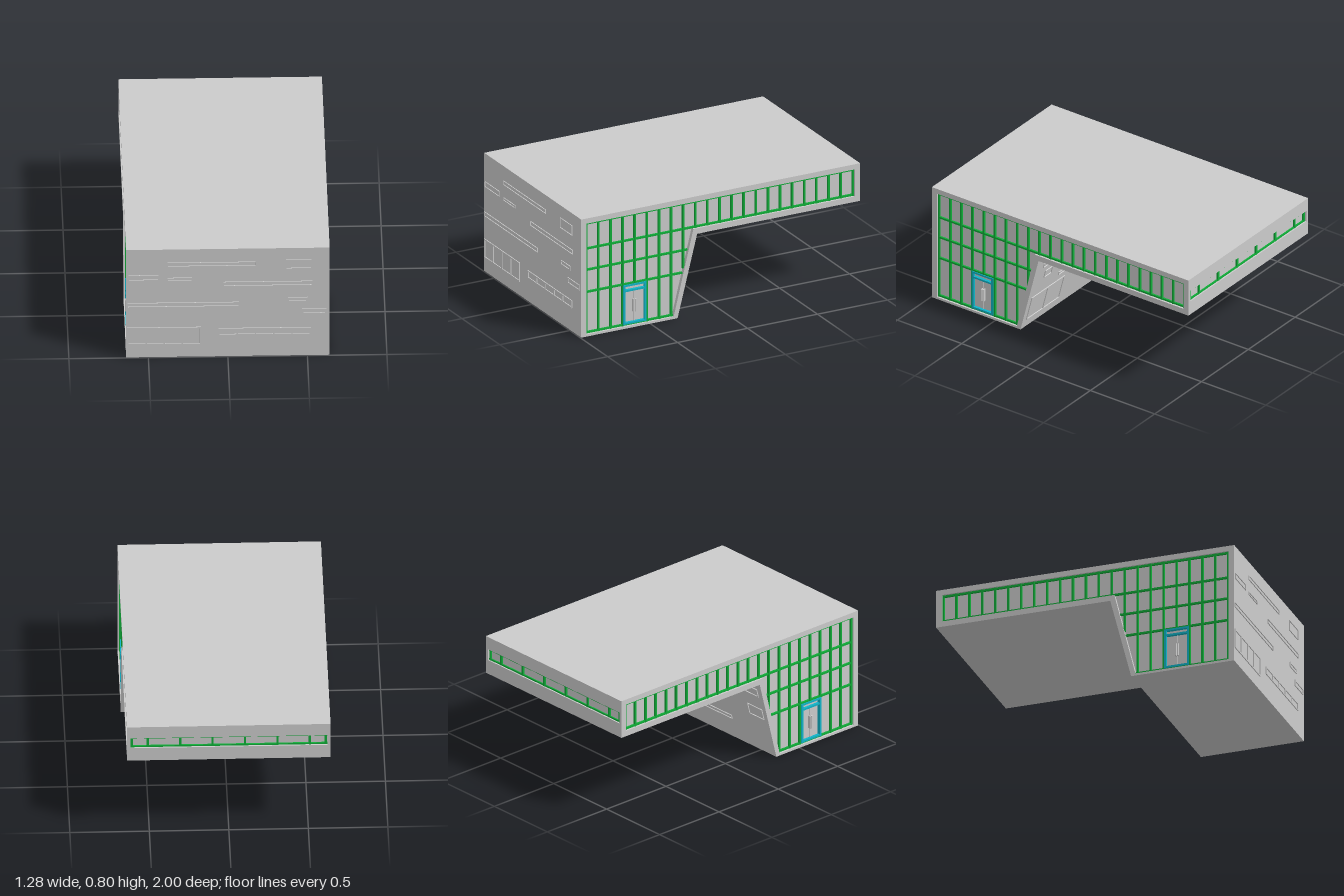
import * as THREE from 'three';

const grey = new THREE.MeshStandardMaterial({ color: 0xcccccc, side: THREE.DoubleSide });
const green = new THREE.MeshStandardMaterial({ color: 0x0fae38 });
const cyan = new THREE.MeshStandardMaterial({ color: 0x10b4c8 });

const W = 0.64; // half width
const FRONT = 0.994; // front wall plane
const OUTER = [[FRONT, 0], [FRONT, 0.8], [-0.98, 0.8], [-0.98, 0.545], [0.165, 0.545], [0.305, 0]];
const INNER = [[0.955, 0.015], [0.955, 0.765], [-0.962, 0.765], [-0.962, 0.582], [0.192, 0.582], [0.333, 0.015]];
const toShape = pts => new THREE.Shape(pts.map(p => new THREE.Vector2(...p)));
const rect = (x0, x1, y0, y1) => [[x0, y0], [x1, y0], [x1, y1], [x0, y1]];

function add(parent, name, geometry, material) {
  const mesh = new THREE.Mesh(geometry, material);
  mesh.name = name;
  parent.add(mesh);
  return mesh;
}

// Box given by its extents
function bar(parent, name, material, [x0, x1], [y0, y1], [z0, z1]) {
  const g = new THREE.BoxGeometry(x1 - x0, y1 - y0, z1 - z0);
  g.translate((x0 + x1) / 2, (y0 + y1) / 2, (z0 + z1) / 2);
  return add(parent, name, g, material);
}

// Raised window frame lying on the local XY plane, split into panes
function windowFrame(parent, [x0, x1, y0, y1, panes = 1, border = 0.003]) {
  const shape = toShape(rect(x0, x1, y0, y1));
  const step = (x1 - x0 - border) / panes;
  for (let i = 0; i < panes; i++) {
    const a = x0 + border + i * step;
    shape.holes.push(toShape(rect(a, a + step - border, y0 + border, y1 - border)));
  }
  add(parent, 'windowFrame', new THREE.ExtrudeGeometry(shape, { depth: 0.006, bevelEnabled: false }), grey);
}

// Lower and upper limits of the side glazing along z
const glassBottom = z => z >= 0.333 ? 0.015 : z <= 0.192 ? 0.582 : 0.015 + (0.333 - z) / 0.141 * 0.567;
const glassBack = y => y >= 0.58 ? -0.962 : 0.333 - (y - 0.015) / 0.567 * 0.141;

function sideGlazing(s) {
  const side = new THREE.Group();
  side.name = s > 0 ? 'leftGlazing' : 'rightGlazing';
  const span = (a, b) => s > 0 ? [a, b] : [-b, -a];

  const pane = add(side, 'glassPane', new THREE.ShapeGeometry(toShape(INNER)), grey);
  pane.rotation.y = -Math.PI / 2;
  pane.position.x = s * 0.615;

  // Vertical mullions, stopping at the sloped wall and the door
  for (let i = 0; i <= 22; i++) {
    const z = 0.949 - i * 0.0866;
    const low = Math.abs(z - 0.606) < 0.04 ? 0.29 : glassBottom(z);
    bar(side, 'mullion', green, span(0.615, 0.63), [low, 0.765], [z - 0.006, z + 0.006]);
  }
  // Horizontal rails
  for (const y of [0.022, 0.295, 0.445, 0.589, 0.759])
    bar(side, 'rail', green, span(0.615, 0.628), [y - 0.006, y + 0.006], [glassBack(y), 0.955]);

  // Double door
  const depth = span(0.615, 0.634);
  for (const z of [0.53, 0.683])
    bar(side, 'doorPost', cyan, depth, [0.022, 0.292], [z - 0.007, z + 0.007]);
  for (const y of [0.03, 0.25, 0.285])
    bar(side, 'doorRail', cyan, depth, [y - 0.006, y + 0.006], [0.53, 0.683]);
  bar(side, 'doorSeam', grey, span(0.615, 0.622), [0.03, 0.25], [0.605, 0.608]);
  for (const z of [0.6, 0.613])
    bar(side, 'doorHandle', grey, span(0.615, 0.636), [0.1, 0.185], [z - 0.004, z + 0.004]);
  return side;
}

export function createModel() {
  const model = new THREE.Group();
  model.name = 'building';

  // Hollow body with a long overhang
  const profile = toShape(OUTER);
  profile.holes.push(toShape(INNER));
  const shell = add(model, 'shell', new THREE.ExtrudeGeometry(profile, { depth: 2 * W, bevelEnabled: false }), grey);
  shell.rotation.y = -Math.PI / 2;
  shell.position.x = W;

  model.add(sideGlazing(1), sideGlazing(-1));

  // Back wall with a ribbon window
  const back = toShape(rect(-W, W, 0.545, 0.8));
  back.holes.push(toShape(rect(-0.62, 0.62, 0.64, 0.715)));
  const backWall = add(model, 'backWall', new THREE.ExtrudeGeometry(back, { depth: 0.02, bevelEnabled: false }), grey);
  backWall.position.z = -1;
  for (const x of [-0.61, -0.51, -0.306, -0.102, 0.102, 0.306, 0.51, 0.61])
    bar(model, 'backMullion', green, [x - 0.007, x + 0.007], [0.64, 0.715], [-0.992, -0.98]);
  for (const y of [0.645, 0.71])
    bar(model, 'backRail', green, [-0.62, 0.62], [y - 0.005, y + 0.005], [-0.99, -0.98]);

  // Front windows: x0, x1, y0, y1, panes, border
  const front = new THREE.Group();
  front.name = 'frontWindows';
  front.position.z = FRONT;
  [
    [-0.38, 0.175, 0.675, 0.703], [0.365, 0.525, 0.65, 0.718],
    [-0.625, -0.435, 0.575, 0.612], [-0.38, -0.225, 0.57, 0.59],
    [-0.028, 0.532, 0.525, 0.555], [-0.63, 0.07, 0.375, 0.405],
    [0.377, 0.5, 0.403, 0.435, 1, 0.008], [0.467, 0.62, 0.31, 0.35, 1, 0.008],
    [-0.633, -0.168, 0.093, 0.222, 4, 0.009], [-0.06, 0.522, 0.158, 0.21, 5, 0.008],
  ].forEach(w => windowFrame(front, w));
  model.add(front);

  // Windows on the sloped wall under the overhang
  const slope = new THREE.Group();
  slope.name = 'slopedWallWindows';
  slope.rotation.set(-Math.atan2(0.14, 0.545), Math.PI, 0);
  slope.position.z = 0.305;
  [
    [-0.56, -0.39, 0.465, 0.497], [-0.52, -0.44, 0.364, 0.42],
    [-0.247, 0.279, 0.38, 0.412], [-0.34, -0.014, 0.29, 0.316],
    [-0.06, 0.271, 0.152, 0.18], [0.371, 0.6, 0.45, 0.51, 2, 0.006],
    [0.468, 0.605, 0.276, 0.355], [-0.604, -0.253, 0.061, 0.242, 2, 0.007],
  ].forEach(w => windowFrame(slope, w));
  model.add(slope);

  return model;
}
